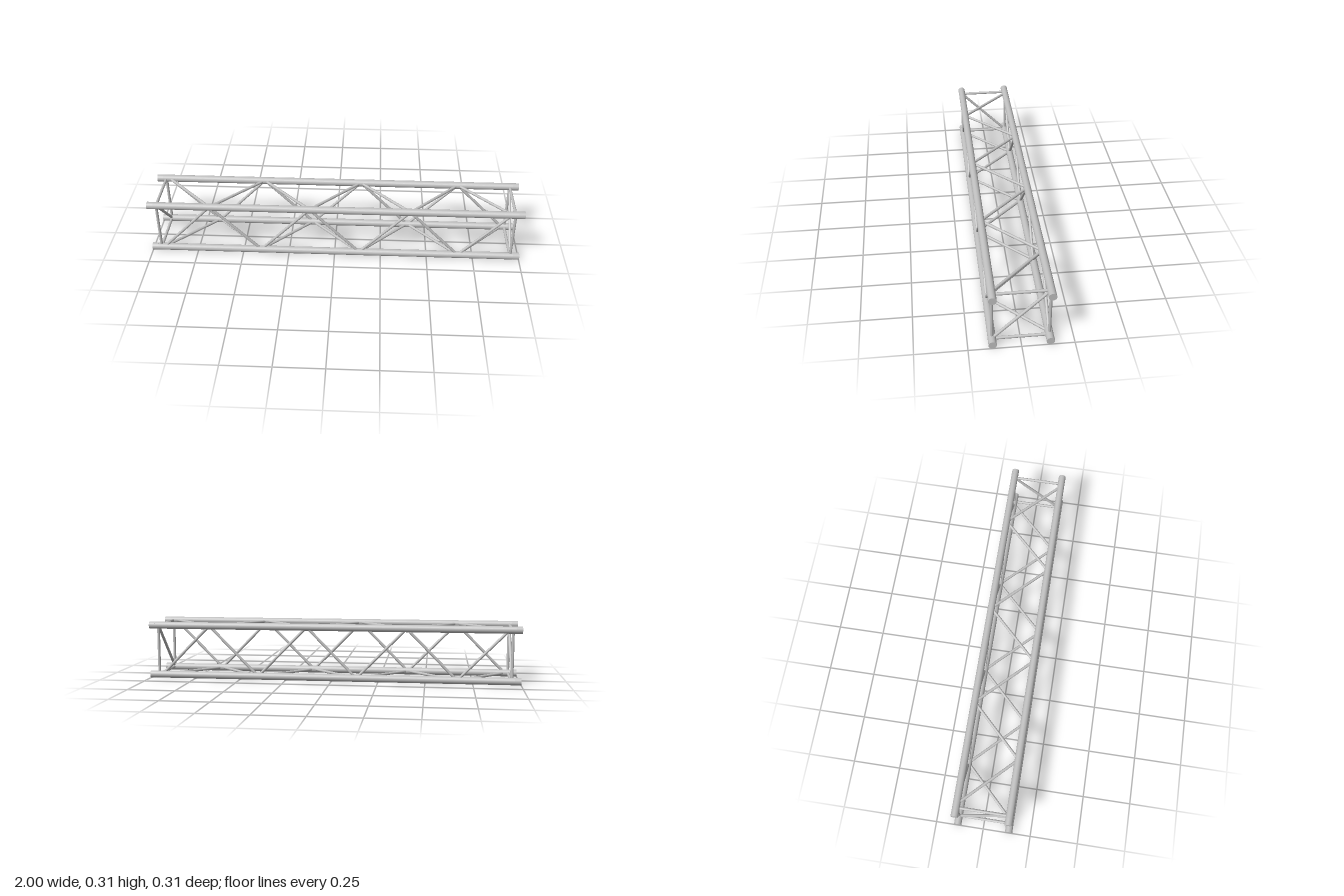
import * as THREE from 'three';

export function createModel() {
  const model = new THREE.Group();
  const steel = new THREE.MeshStandardMaterial({ color: 0xc0c0c0 });
  steel.name = 'brushed aluminium';

  const R = 0.0196, r = 0.0075; // main tube and brace radii
  const half = 0.1355, low = R, high = R + 2 * half;
  const capLength = 0.033, endX = 0.952, bay = 0.267, bays = 7;

  // Round bar between two points, shortened at both ends
  function bar(name, a, b, radius, trim, sides) {
    const dir = b.clone().sub(a);
    const length = dir.length() - 2 * trim;
    const mesh = new THREE.Mesh(new THREE.CylinderGeometry(radius, radius, length, sides), steel);
    mesh.position.copy(a).add(b).multiplyScalar(0.5);
    mesh.quaternion.setFromUnitVectors(new THREE.Vector3(0, 1, 0), dir.normalize());
    mesh.name = name;
    model.add(mesh);
  }

  // Corners in order round the section; odd ones carry the shifted nodes
  const corners = [
    { name: 'bottomFront', y: low, z: half },
    { name: 'topFront', y: high, z: half },
    { name: 'topBack', y: high, z: -half },
    { name: 'bottomBack', y: low, z: -half },
  ];
  const at = (i, x) => new THREE.Vector3(x, corners[i % 4].y, corners[i % 4].z);

  corners.forEach((corner, i) => {
    // Main tube with a connector sleeve at each end
    const inner = 1 - capLength;
    bar(corner.name + 'Tube', at(i, -inner), at(i, inner), R - 0.0003, 0, 32);
    for (const s of [-1, 1]) {
      bar(corner.name + 'Connector', at(i, s * inner), at(i, s), R, 0, 32);
      // Square end frame
      bar('endFrameBar', at(i, s * endX), at(i + 1, s * endX), r, R - 0.0005, 16);
    }
    // Zigzag bracing on the face between this corner and the next
    for (let k = 0; k < bays; k++) {
      const x = (k - bays / 2) * bay;
      const first = (i + k) % 2 === 0 ? i : i + 1;
      const second = first === i ? i + 1 : i;
      bar('zigzagBrace', at(first, x), at(second, x + bay), r, R, 16);
    }
  });

  // One diagonal across each end, leaning opposite ways
  bar('endDiagonal', at(0, endX), at(2, endX), r, R - 0.0005, 16);
  bar('endDiagonal', at(1, -endX), at(3, -endX), r, R - 0.0005, 16);

  return model;
}
